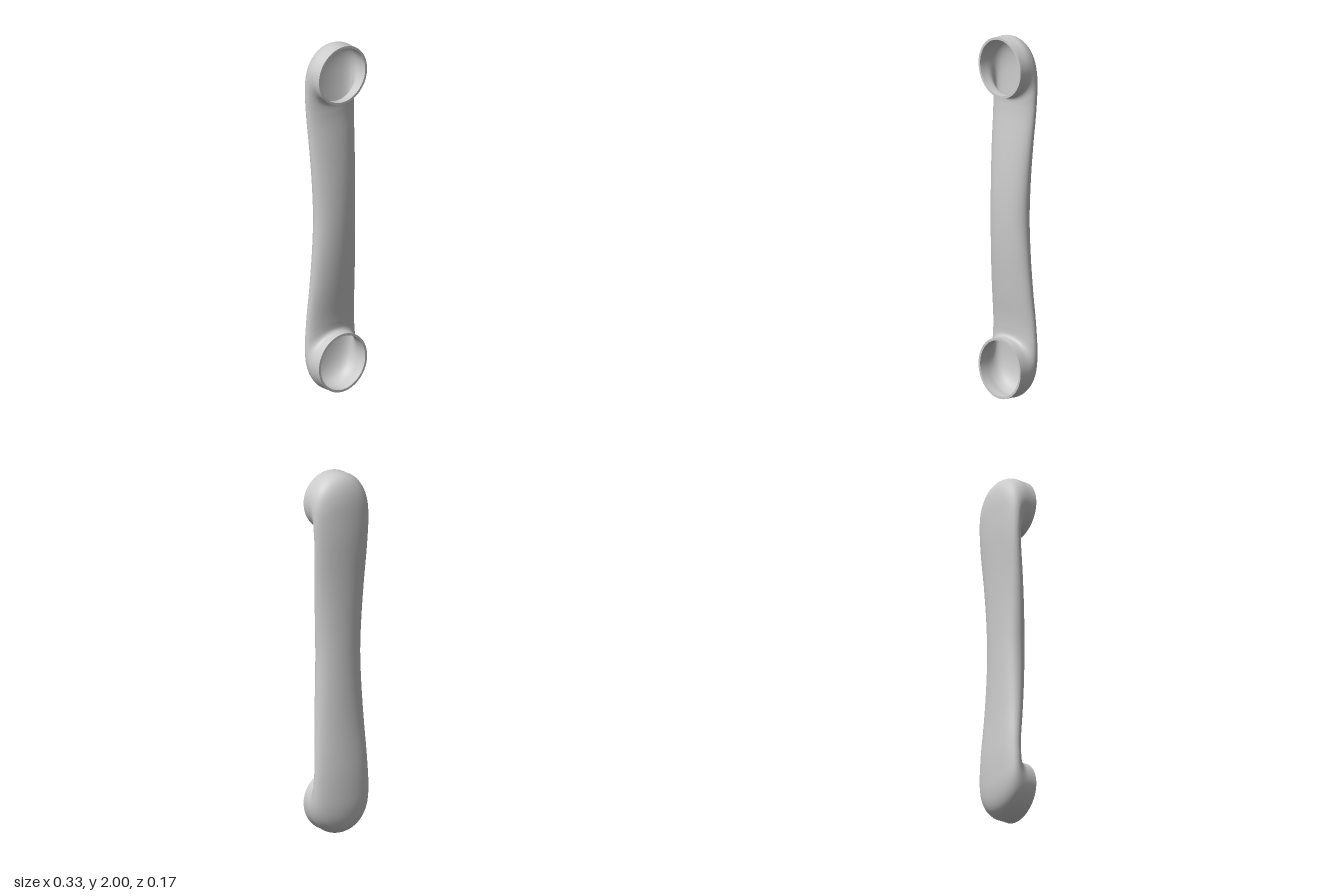
import * as THREE from 'three';

const SIDES = 72;
const STEPS = 6; // rings between neighbouring stations
const WALL = 0.013;
const RADIUS = 0.167;
const RIM_Z = 0.086;

// Half of the duct, lower rim to middle:
// [inner-bend y, z,  outer-bend y, z,  half width]
const HALF = [
  [0.334, RIM_Z, 0, RIM_Z, RADIUS],
  [0.334, 0.065, 0, 0.045, RADIUS],
  [0.335, 0.047, 0, 0.002, RADIUS],
  [0.338, 0.040, 0.025, -0.042, RADIUS],
  [0.343, 0.035, 0.075, -0.070, RADIUS],
  [0.350, 0.032, 0.150, -0.084, 0.166],
  [0.362, 0.031, 0.250, -0.087, 0.164],
  [0.385, 0.032, 0.350, -0.086, 0.160],
  [0.450, 0.037, 0.450, -0.081, 0.156],
  [0.600, 0.056, 0.600, -0.073, 0.148],
  [0.800, 0.075, 0.800, -0.067, 0.138],
  [1.000, 0.082, 1.000, -0.065, 0.132],
];
const upper = HALF.slice(0, -1).reverse()
  .map(([py, pz, qy, qz, w]) => [2 - py, pz, 2 - qy, qz, w]);
const STATIONS = [...HALF, ...upper];

const spline = (fn) => new THREE.CatmullRomCurve3(STATIONS.map(fn), false, 'catmullrom', 0.5);
const innerBend = spline((s) => new THREE.Vector3(s[4], s[0], s[1]));
const outerBend = spline((s) => new THREE.Vector3(0, s[2], s[3]));

// Loft of elliptical rings, shrunk by inset; flip makes it face inward
function ductSurface(inset, flip) {
  const rings = (STATIONS.length - 1) * STEPS;
  const positions = [];
  const index = [];
  for (let i = 0; i <= rings; i++) {
    const p = innerBend.getPoint(i / rings);
    const q = outerBend.getPoint(i / rings);
    const width = p.x - inset;
    p.x = 0;
    const centre = p.clone().add(q).multiplyScalar(0.5);
    const axis = q.sub(p).multiplyScalar(0.5);
    axis.setLength(axis.length() - inset);
    for (let j = 0; j < SIDES; j++) {
      const a = (j / SIDES) * Math.PI * 2;
      positions.push(
        Math.cos(a) * width,
        centre.y + Math.sin(a) * axis.y,
        centre.z + Math.sin(a) * axis.z,
      );
      if (i === rings) continue;
      const k = (j + 1) % SIDES;
      const [A, B, C, D] = [i * SIDES + j, i * SIDES + k, (i + 1) * SIDES + j, (i + 1) * SIDES + k];
      if (flip) index.push(A, C, B, B, C, D);
      else index.push(A, B, C, B, D, C);
    }
  }
  const geometry = new THREE.BufferGeometry();
  geometry.setAttribute('position', new THREE.Float32BufferAttribute(positions, 3));
  geometry.setIndex(index);
  geometry.computeVertexNormals();
  return geometry;
}

export function createModel() {
  const group = new THREE.Group();
  group.name = 'crossoverDuct';
  const material = new THREE.MeshStandardMaterial({ color: 0xcccccc });
  const add = (name, geometry) => {
    const mesh = new THREE.Mesh(geometry, material);
    mesh.name = name;
    group.add(mesh);
    return mesh;
  };

  // Hollow duct with an elbow and round collar at each end
  add('outerShell', ductSurface(0, false));
  add('innerShell', ductSurface(WALL, true));

  // Flat rims closing the wall at both openings
  for (const [name, y] of [['lowerRim', RADIUS], ['upperRim', 2 - RADIUS]]) {
    add(name, new THREE.RingGeometry(RADIUS - WALL, RADIUS, SIDES)).position.set(0, y, RIM_Z);
  }
  return group;
}
